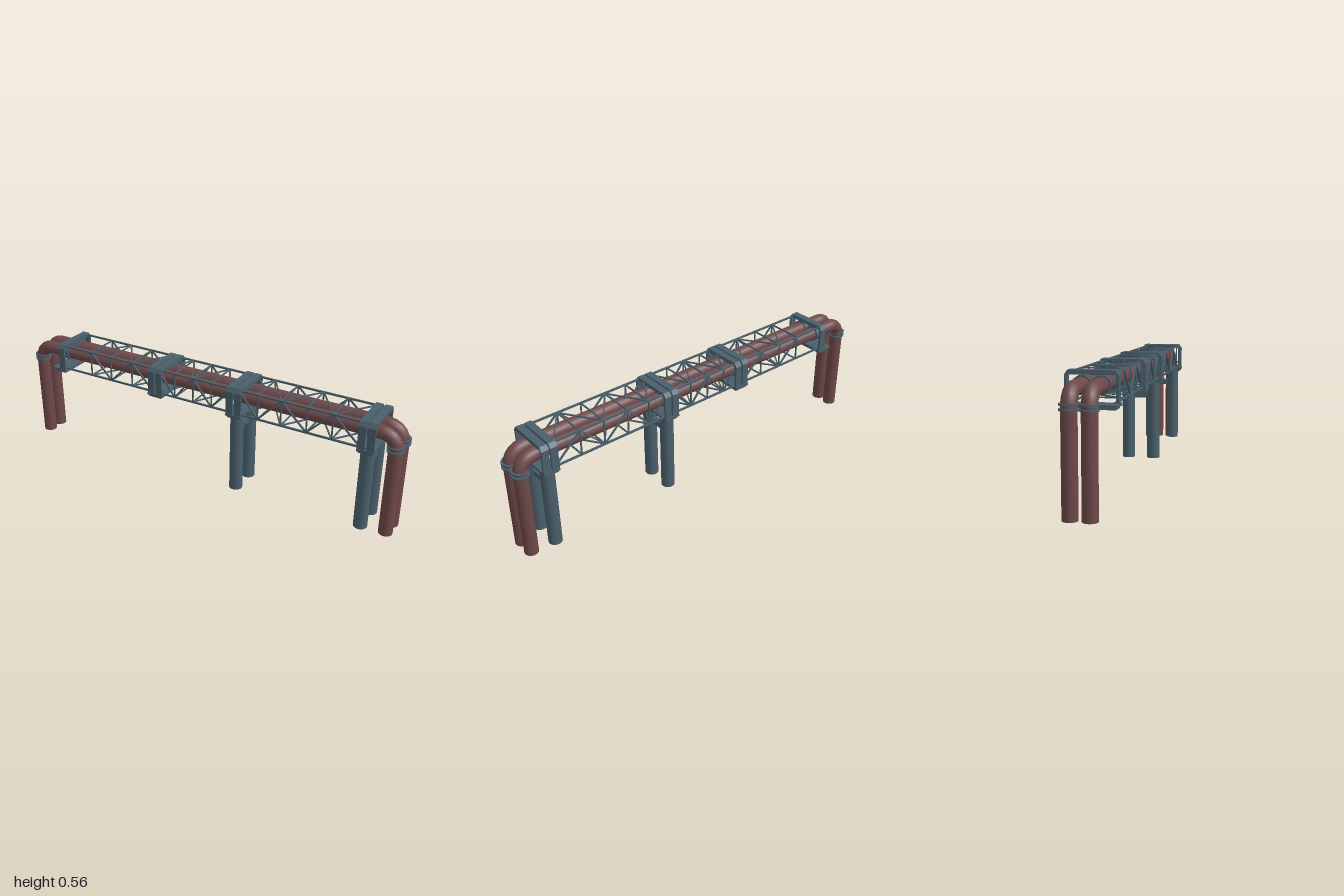
import * as THREE from 'three';

export function createModel() {
  const root = new THREE.Group();
  root.name = 'pipeBridge';
  const mat = (name, color) => Object.assign(new THREE.MeshStandardMaterial({ color }), { name });
  const rust = mat('rustRed', 0x6e4849);
  const steel = mat('blueSteel', 0x4a606c);

  const add = (name, geo, material, x = 0, y = 0, z = 0) => {
    const m = new THREE.Mesh(geo, material);
    m.name = name;
    m.position.set(x, y, z);
    root.add(m);
    return m;
  };
  const box = (name, x0, x1, y0, y1, z0, z1) =>
    add(name, new THREE.BoxGeometry(x1 - x0, y1 - y0, z1 - z0), steel, (x0 + x1) / 2, (y0 + y1) / 2, (z0 + z1) / 2);
  // Square bar between two points
  const bar = (name, a, b, t) => {
    const from = new THREE.Vector3(...a), to = new THREE.Vector3(...b);
    const m = add(name, new THREE.BoxGeometry(t, t, from.distanceTo(to)), steel);
    m.position.copy(from).add(to).multiplyScalar(0.5);
    m.lookAt(to);
    return m;
  };

  // Twin pipes: run, elbows, legs and flanges
  const R = 0.0325, bend = 0.065, endX = 0.96, axisY = 0.495;
  for (const z of [0.037, -0.042]) {
    const run = add('pipeRun', new THREE.CylinderGeometry(R, R, 2 * (endX - bend), 16, 1, true), rust, 0, axisY, z);
    run.rotation.z = Math.PI / 2;
    for (const s of [-1, 1]) {
      const elbow = add('pipeElbow', new THREE.TorusGeometry(bend, R, 16, 5, Math.PI / 2), rust, s * (endX - bend), axisY - bend, z);
      if (s < 0) elbow.rotation.y = Math.PI;
      add('pipeLeg', new THREE.CylinderGeometry(R, R, axisY - bend, 20), rust, s * endX, (axisY - bend) / 2, z);
      for (const y of [0.424, 0.444])
        add('pipeFlange', new THREE.CylinderGeometry(0.04, 0.04, 0.008, 16), steel, s * endX, y, z);
    }
    // Collars where the pipes pass the portals
    for (const x of [-0.77, -0.21, 0.215, 0.85]) {
      const collar = add('pipeCollar', new THREE.CylinderGeometry(0.041, 0.041, 0.02, 10), steel, x, axisY, z);
      collar.rotation.z = Math.PI / 2;
    }
  }

  // Portal frames: hoop with chamfered top corners
  const portal = (x0, x1) => {
    const w = 0.11, top = 0.556, c = 0.014;
    const s = new THREE.Shape([
      [-w, 0.415], [w, 0.415], [w, top - 0.02], [w - c, top], [c - w, top], [-w, top - 0.02],
    ].map(p => new THREE.Vector2(...p)));
    s.holes.push(new THREE.Path([
      [-w + 0.011, 0.424], [-w + 0.011, 0.537], [w - 0.011, 0.537], [w - 0.011, 0.424],
    ].map(p => new THREE.Vector2(...p))));
    const geo = new THREE.ExtrudeGeometry(s, { depth: x1 - x0, bevelEnabled: false });
    geo.rotateY(Math.PI / 2);
    add('portalFrame', geo, steel, x0);
  };
  portal(-0.79, -0.755);
  for (const x of [-0.21, 0.216, 0.85]) {
    portal(x - 0.038, x - 0.004);
    portal(x + 0.004, x + 0.038);
  }

  // Base plates under the portals
  for (const [x0, x1] of [[-0.835, -0.752], [-0.25, -0.17], [0.178, 0.254], [0.812, 0.888]]) {
    box('basePlate', x0, x1, 0.415, 0.426, -0.113, 0.113);
    box('bearingPlate', x0 + 0.006, x1 - 0.006, 0.406, 0.415, -0.107, 0.107);
  }

  // Column pairs with cross beam
  for (const x of [0.215, 0.85]) {
    for (const z of [0.064, -0.064])
      add('supportColumn', new THREE.CylinderGeometry(0.032, 0.032, 0.393, 20), steel, x, 0.2115, z);
    box('columnBrace', x - 0.012, x + 0.012, 0.324, 0.352, -0.05, 0.05);
  }

  // Truss chords
  const lo = 0.425, hi = 0.546, side = 0.089;
  for (const z of [side, -side])
    for (const y of [lo, hi]) box('trussChord', -0.775, 0.85, y - 0.004, y + 0.004, z - 0.004, z + 0.004);

  // Truss web: posts, rungs and zigzag diagonals on all four faces
  const spans = [
    [-0.6, -0.48, -0.355, -0.23],
    [-0.2, -0.11, -0.01, 0.09, 0.19],
    [0.235, 0.33, 0.445, 0.57, 0.69, 0.82],
  ];
  for (const xs of spans) {
    xs.forEach((x, i) => {
      for (const z of [side, -side]) bar('trussPost', [x, lo, z], [x, hi, z], 0.006);
      for (const y of [lo, hi]) bar('trussRung', [x, y, -side], [x, y, side], 0.006);
      if (i === xs.length - 1) return;
      const n = xs[i + 1], up = i % 2 === 0;
      for (const z of [side, -side])
        bar('sideDiagonal', [x, up ? hi : lo, z], [n, up ? lo : hi, z], 0.007);
      for (const y of [lo, hi])
        bar('flatDiagonal', [x, y, up ? side : -side], [n, y, up ? -side : side], 0.006);
    });
  }
  return root;
}
